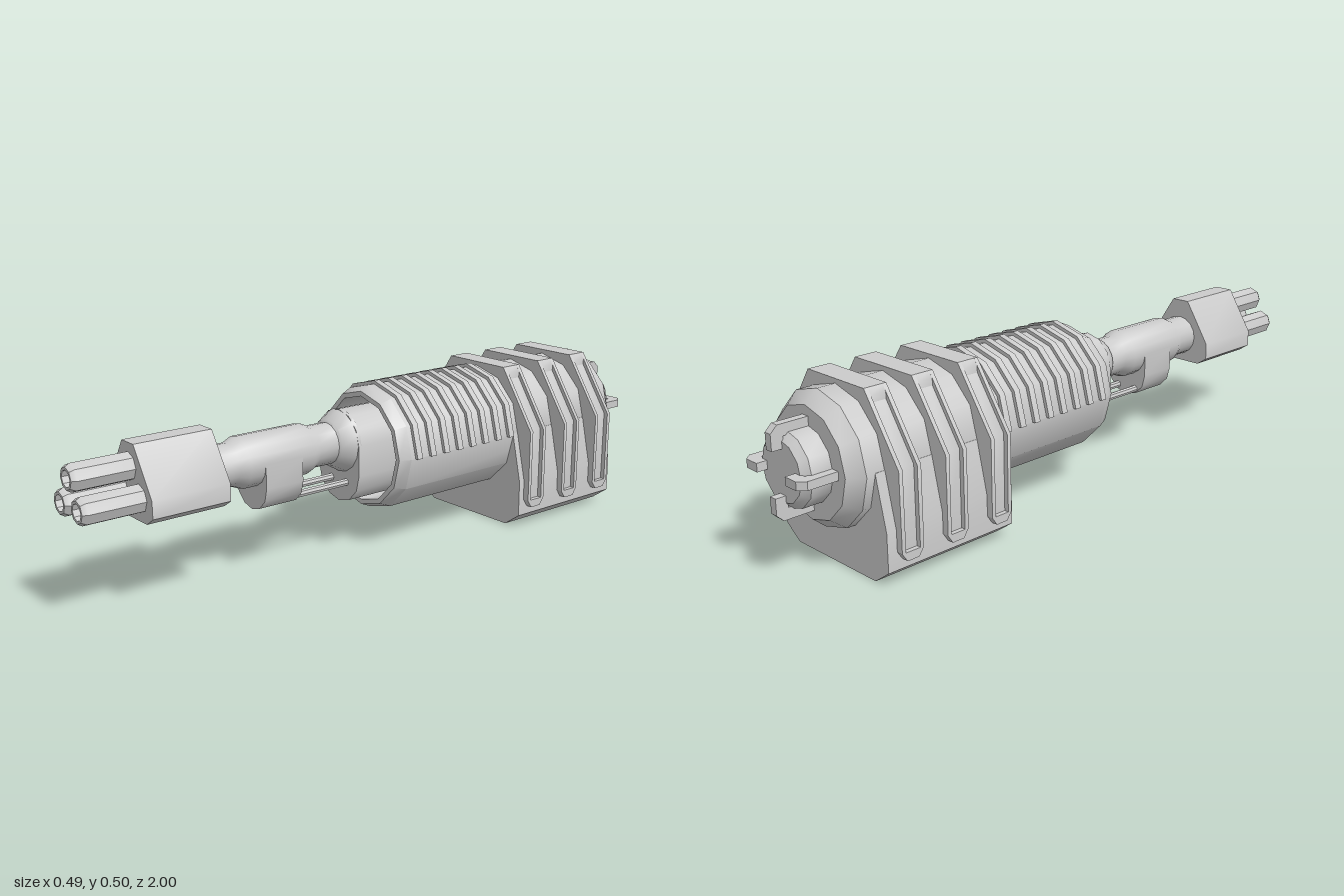
import * as THREE from 'three';
import { toCreasedNormals } from 'three/addons/utils/BufferGeometryUtils.js';

const material = new THREE.MeshStandardMaterial({ color: 0xcccccc });
const BODY_Y = 0.295, POLE_Y = 0.335;

export function createModel() {
  const model = new THREE.Group();

  const add = (name, geometry, x = 0, y = 0, z = 0) => {
    const mesh = new THREE.Mesh(toCreasedNormals(geometry, 0.6), material);
    mesh.name = name;
    mesh.position.set(x, y, z);
    model.add(mesh);
    return mesh;
  };
  // turned part along z; profile points are [radius, z] from back to front
  const turned = (profile, sides) =>
    new THREE.LatheGeometry(profile.map(([r, z]) => new THREE.Vector2(r, z)), sides).rotateX(Math.PI / 2);
  // flat outline pushed along z
  const slab = (points, z0, z1) =>
    new THREE.ExtrudeGeometry(new THREE.Shape(points.map(([x, y]) => new THREE.Vector2(x, y))),
      { depth: z1 - z0, bevelEnabled: false }).translate(0, 0, z0);
  // complete an outline from its +x half, listed top to bottom
  const mirrored = (half) => [...half, ...half.map(([x, y]) => [-x, y]).reverse()];
  const arc = (r, from, to, steps, cy = 0) => Array.from({ length: steps + 1 }, (_, i) => {
    const a = THREE.MathUtils.degToRad(from + (to - from) * i / steps);
    return [r * Math.cos(a), cy + r * Math.sin(a)];
  });

  // main barrel-shaped body, hollow at the front
  add('body', turned([[0, -0.89], [0.155, -0.89], [0.188, -0.85], [0.19, 0.02], [0.175, 0.055],
    [0.16, 0.055], [0.16, -0.3], [0, -0.3]], 12), 0, BODY_Y);

  // cooling fins over the upper half of the body
  const finOutline = [...arc(0.2, 0, 180, 6), ...arc(0.17, 180, 0, 6)];
  for (let i = 0; i < 8; i++) {
    const z = -0.005 - i * 0.054;
    add('coolingFin', slab(finOutline, z - 0.01, z + 0.01), 0, BODY_Y);
  }

  // base block
  add('base', slab(mirrored([[0.188, 0.3], [0.223, 0.15], [0.223, 0.04], [0.167, 0]]), -0.825, -0.4));

  // clamp ribs: two rails, a recessed core, a closed top and a chamfered foot
  const rail = mirrored([[0.118, 0.496], [0.243, 0.312], [0.243, 0.09]]);
  const core = mirrored([[0.11, 0.488], [0.229, 0.312], [0.229, 0.09]]);
  const crown = mirrored([[0.118, 0.496], [0.13, 0.478], [0.13, 0.4]]);
  const foot = [[-0.035, 0.09], [-0.019, 0.066], [0.019, 0.066], [0.035, 0.09]];
  for (const z of [-0.455, -0.61, -0.76]) {
    for (const side of [-1, 1]) {
      const mid = side * 0.029;
      add('ribRail', slab(rail, mid - 0.006, mid + 0.006), 0, 0, z);
    }
    add('ribCore', slab(core, -0.023, 0.023), 0, 0, z);
    add('ribCrown', slab(crown, -0.023, 0.023), 0, 0, z);
    add('ribFoot', slab(foot, -0.243, 0.243).rotateY(-Math.PI / 2), 0, 0, z);
  }

  // rear knob held by four hooked claws
  add('rearKnob', turned([[0, -0.97], [0.085, -0.97], [0.105, -0.95], [0.105, -0.88]], 12), 0, BODY_Y);
  const claw = [[0.095, -0.89], [0.127, -0.89], [0.127, -0.98], [0.108, -1], [0.062, -1], [0.062, -0.965], [0.095, -0.965]];
  for (let i = 0; i < 4; i++) {
    add('rearClaw', slab(claw, -0.012, 0.012).rotateX(Math.PI / 2), 0, BODY_Y).rotation.z = i * Math.PI / 2;
  }

  // sliding collar inside the hollow body
  add('collar', slab([...arc(0.095, 0, 180, 6, POLE_Y), ...arc(0.095, 180, 360, 6, 0.245)], -0.3, 0.14));

  // stepped pole
  add('pole', turned([[0.095, 0.13], [0.093, 0.14], [0.07, 0.18], [0.062, 0.185], [0.062, 0.25], [0.075, 0.28],
    [0.075, 0.495], [0.062, 0.525], [0.062, 0.6]], 16), 0, POLE_Y);

  // hanging bracket and its two guide rods
  add('bracket', slab([[0.075, POLE_Y], [-0.075, POLE_Y], ...arc(0.075, 180, 360, 6, 0.265)], 0.325, 0.45));
  for (const x of [-0.035, 0.035]) {
    add('guideRod', new THREE.CylinderGeometry(0.011, 0.011, 0.22, 8).rotateX(Math.PI / 2), x, 0.215, 0.235);
  }

  // muzzle block
  add('muzzleBlock', slab(mirrored([[0.03, 0.453], [0.113, 0.322], [0.113, 0.272], [0.08, 0.25]]), 0.59, 0.825));

  // three hollow octagonal nozzles
  for (const [x, y] of [[0, 0.389], [-0.048, 0.313], [0.048, 0.313]]) {
    add('nozzle', turned([[0.039, 0.81], [0.039, 0.987], [0.031, 1], [0.023, 1], [0.023, 0.9], [0, 0.9]], 8), x, y);
  }

  return model;
}
